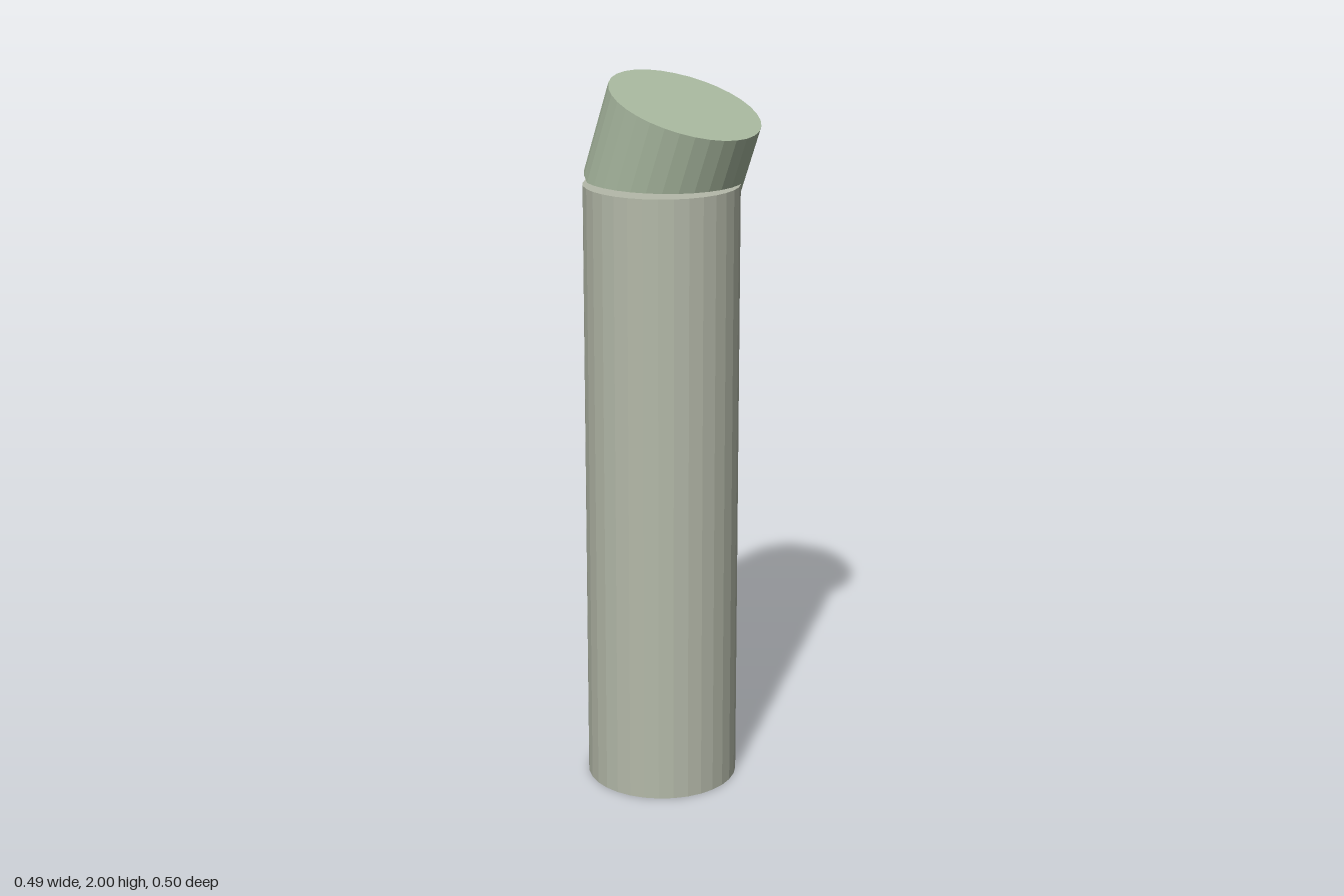
import * as THREE from 'three';

const UP = new THREE.Vector3(0, 1, 0);

// Faceted closed cylinder running from one end centre to the other
function rod(name, from, to, radius, color) {
  const axis = to.clone().sub(from);
  const mesh = new THREE.Mesh(
    new THREE.CylinderGeometry(radius, radius, axis.length(), 32),
    new THREE.MeshStandardMaterial({ color, flatShading: true })
  );
  mesh.name = name;
  mesh.position.copy(from).add(to).multiplyScalar(0.5);
  mesh.quaternion.setFromUnitVectors(UP, axis.normalize());
  return mesh;
}

export function createModel() {
  const group = new THREE.Group();
  group.name = 'postWithTiltedCap';

  // Tall upright post
  group.add(rod('post', new THREE.Vector3(-0.035, 0, 0.037), new THREE.Vector3(-0.035, 1.72, 0.037), 0.213, 0xb4b9a9));

  // Short cap, tipped forward and to the left, sunk into the post
  group.add(rod('cap', new THREE.Vector3(-0.011, 1.683, -0.045), new THREE.Vector3(0.035, 1.928, 0.029), 0.213, 0xa9b9a0));

  return group;
}
